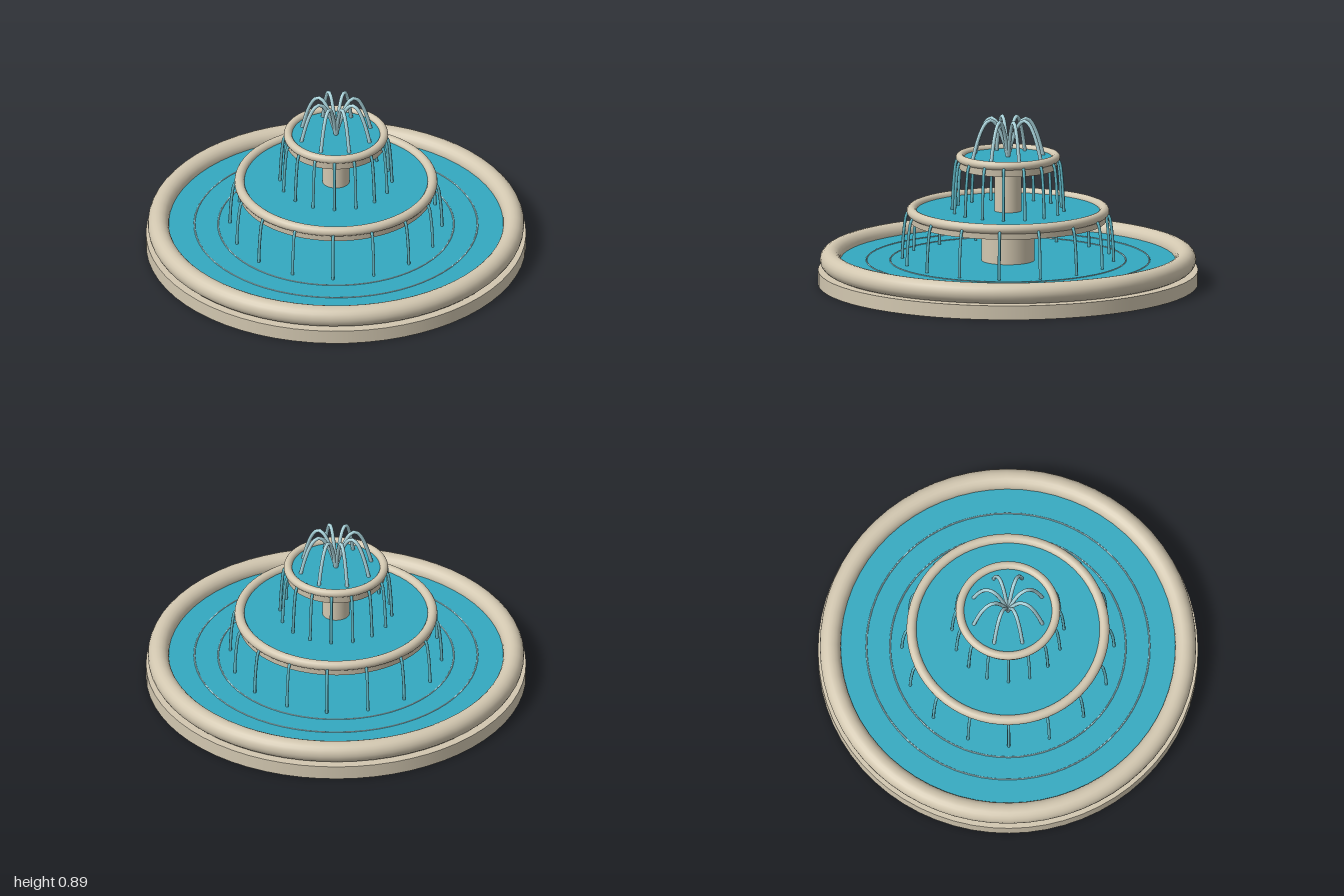
import * as THREE from 'three';

const stone = new THREE.MeshStandardMaterial({ name: 'stone', color: 0xd2c7b0 });
const water = new THREE.MeshStandardMaterial({ name: 'water', color: 0x33a9c0 });
const stream = new THREE.MeshStandardMaterial({ name: 'fallingWater', color: 0x62bccb });
const spray = new THREE.MeshStandardMaterial({ name: 'spray', color: 0xa9d4dc });

export function createModel() {
  const model = new THREE.Group();
  model.name = 'fountain';

  const add = (name, geometry, material, parent = model) => {
    const mesh = new THREE.Mesh(geometry, material);
    mesh.name = name;
    parent.add(mesh);
    return mesh;
  };
  // Upright cylinder between two heights
  const drum = (name, rBottom, rTop, y0, y1, material, sides = 64) => {
    add(name, new THREE.CylinderGeometry(rTop, rBottom, y1 - y0, sides), material)
      .position.y = (y0 + y1) / 2;
  };
  // Horizontal ring
  const ring = (name, radius, tube, y, material, sides = 16) => {
    const geometry = new THREE.TorusGeometry(radius, tube, sides, 64);
    geometry.rotateX(Math.PI / 2);
    add(name, geometry, material).position.y = y;
  };
  // Tubes repeated around the axis, following points given as [radius, height]
  const radialTubes = (name, count, points, tube, material) => {
    const group = new THREE.Group();
    group.name = name;
    const curve = new THREE.CatmullRomCurve3(points.map(([r, y]) => new THREE.Vector3(r, y, 0)));
    const geometry = new THREE.TubeGeometry(curve, 20, tube, 8);
    for (let i = 0; i < count; i++) {
      add(name + (i + 1), geometry, material, group).rotation.y = (i / count) * Math.PI * 2;
    }
    model.add(group);
  };

  // Ground basin
  drum('base', 1, 1, 0, 0.075, stone);
  ring('basinRim', 0.935, 0.055, 0.13, stone, 20);
  drum('basinWater', 0.89, 0.89, 0.07, 0.127, water);
  ring('innerRipple', 0.62, 0.004, 0.127, spray, 6);
  ring('outerRipple', 0.745, 0.004, 0.127, spray, 6);

  // Middle tier
  drum('pedestal', 0.14, 0.14, 0.12, 0.345, stone, 32);
  drum('middleBowl', 0.515, 0.52, 0.335, 0.386, stone);
  drum('middleWater', 0.49, 0.49, 0.38, 0.392, water);
  ring('middleRim', 0.508, 0.026, 0.39, stone);

  // Upper tier
  drum('column', 0.072, 0.072, 0.385, 0.63, stone, 32);
  drum('upperBowl', 0.257, 0.262, 0.62, 0.672, stone);
  drum('upperWater', 0.24, 0.24, 0.665, 0.679, water);
  ring('upperRim', 0.253, 0.022, 0.678, stone);

  // Water spilling from the rims
  radialTubes('middleStream', 16,
    [[0.515, 0.39], [0.535, 0.365], [0.547, 0.3], [0.555, 0.21], [0.558, 0.125]], 0.008, stream);
  radialTubes('upperStream', 16,
    [[0.258, 0.678], [0.274, 0.65], [0.284, 0.58], [0.291, 0.48], [0.295, 0.388]], 0.008, stream);

  // Arching jets at the top
  const arc = [];
  for (let i = 0; i <= 8; i++) {
    const t = i / 8;
    arc.push([0.195 * t, 0.675 + 0.82 * t * (1 - t)]);
  }
  radialTubes('jet', 8, arc, 0.01, spray);

  return model;
}
